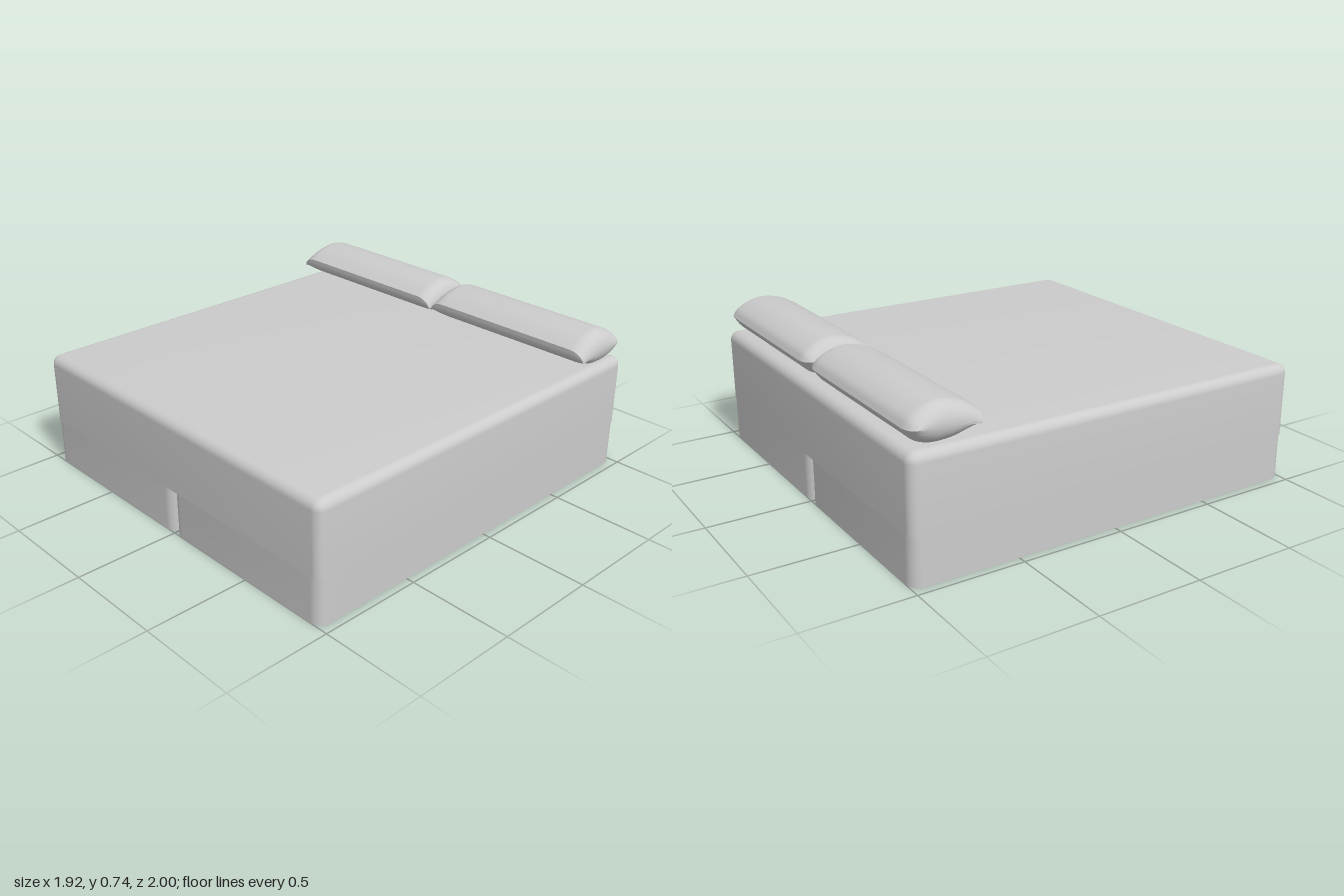
import * as THREE from 'three';
import { toCreasedNormals } from 'three/addons/utils/BufferGeometryUtils.js';

const material = new THREE.MeshStandardMaterial({ color: 0xcccccc });

// Closed solid from equal-length rings, each counterclockwise about the stacking direction
function loft(rings) {
  const n = rings[0].length, last = (rings.length - 1) * n;
  const points = rings.flat(), index = [];
  const middle = ring => ring.reduce((sum, p) => sum.add(p), new THREE.Vector3()).divideScalar(n);
  const startCap = points.push(middle(rings[0])) - 1;
  const endCap = points.push(middle(rings[rings.length - 1])) - 1;
  for (let j = 0; j < n; j++) {
    const k = (j + 1) % n;
    for (let i = 0; i < last; i += n) {
      index.push(i + j, i + k, i + n + k, i + j, i + n + k, i + n + j);
    }
    index.push(startCap, k, j, endCap, last + j, last + k);
  }
  const geometry = new THREE.BufferGeometry().setFromPoints(points);
  geometry.setIndex(index);
  return toCreasedNormals(geometry, 0.6);
}

// Horizontal rounded rectangle at height y
function roundedRing(width, depth, radius, y, steps = 8) {
  const ring = [];
  [[1, 1], [1, -1], [-1, -1], [-1, 1]].forEach(([sx, sz], corner) => {
    for (let i = 0; i <= steps; i++) {
      const a = (corner + i / steps) * Math.PI / 2;
      ring.push(new THREE.Vector3(
        sx * (width / 2 - radius) + radius * Math.sin(a), y,
        sz * (depth / 2 - radius) + radius * Math.cos(a)));
    }
  });
  return ring;
}

// Box with rounded vertical corners and a rolled upper edge
function mattressGeometry(width, depth, bottom, top, radius) {
  const rings = [roundedRing(width, depth, radius, bottom)];
  for (let i = 0; i <= 8; i++) {
    const a = i / 8 * Math.PI / 2;
    const r = Math.max(radius * Math.cos(a), 0.0005), inset = 2 * (radius - r);
    rings.push(roundedRing(width - inset, depth - inset, r, top - radius + radius * Math.sin(a)));
  }
  return loft(rings);
}

// Pillow sections run along x and flatten onto a side seam at both ends
function pillowGeometry(halfWidth) {
  const curve = list => new THREE.SplineCurve(list.map(p => new THREE.Vector2(...p))).getPoints(28);
  const upper = curve([[-0.985, 0.65], [-0.96, 0.69], [-0.9, 0.725], [-0.825, 0.74], [-0.73, 0.72], [-0.658, 0.68]]);
  const lower = curve([[-0.658, 0.68], [-0.67, 0.63], [-0.755, 0.583], [-0.82, 0.57], [-0.885, 0.572], [-0.945, 0.597], [-0.985, 0.65]]);
  const section = [...upper.slice(0, -1), ...lower.slice(0, -1)];
  const endRadius = 0.08, steps = 10, rings = [];
  const addRing = (side, a) => {
    const s = Math.cos(a);
    const x = side * (halfWidth - endRadius + endRadius * Math.sin(a));
    rings.push(section.map(p => {
      const t = (p.x + 0.985) / 0.327;
      const seam = 0.655 - 0.028 * t ** 3;
      const inset = (1 - s) * (0.05 * (1 - t) - 0.01 * t);
      return new THREE.Vector3(x, seam + (p.y - seam) * s, p.x + inset);
    }));
  };
  for (let i = steps; i >= 0; i--) addRing(-1, i / steps * Math.PI / 2);
  for (let i = 0; i <= steps; i++) addRing(1, i / steps * Math.PI / 2);
  return loft(rings);
}

export function createModel() {
  const bed = new THREE.Group();
  bed.name = 'bed';
  const add = (name, geometry, x = 0) => {
    const mesh = new THREE.Mesh(geometry, material);
    mesh.name = name;
    mesh.position.x = x;
    bed.add(mesh);
  };

  // Two base halves, meeting in the middle
  const base = loft([roundedRing(0.96, 2, 0.055, 0), roundedRing(0.96, 2, 0.055, 0.22)]);
  add('leftBase', base, 0.48);
  add('rightBase', base, -0.48);

  add('mattress', mattressGeometry(1.92, 2, 0.22, 0.57, 0.045));

  // Pair of pillows at the head end
  const pillow = pillowGeometry(0.472);
  add('leftPillow', pillow, 0.486);
  add('rightPillow', pillow, -0.474);
  return bed;
}
